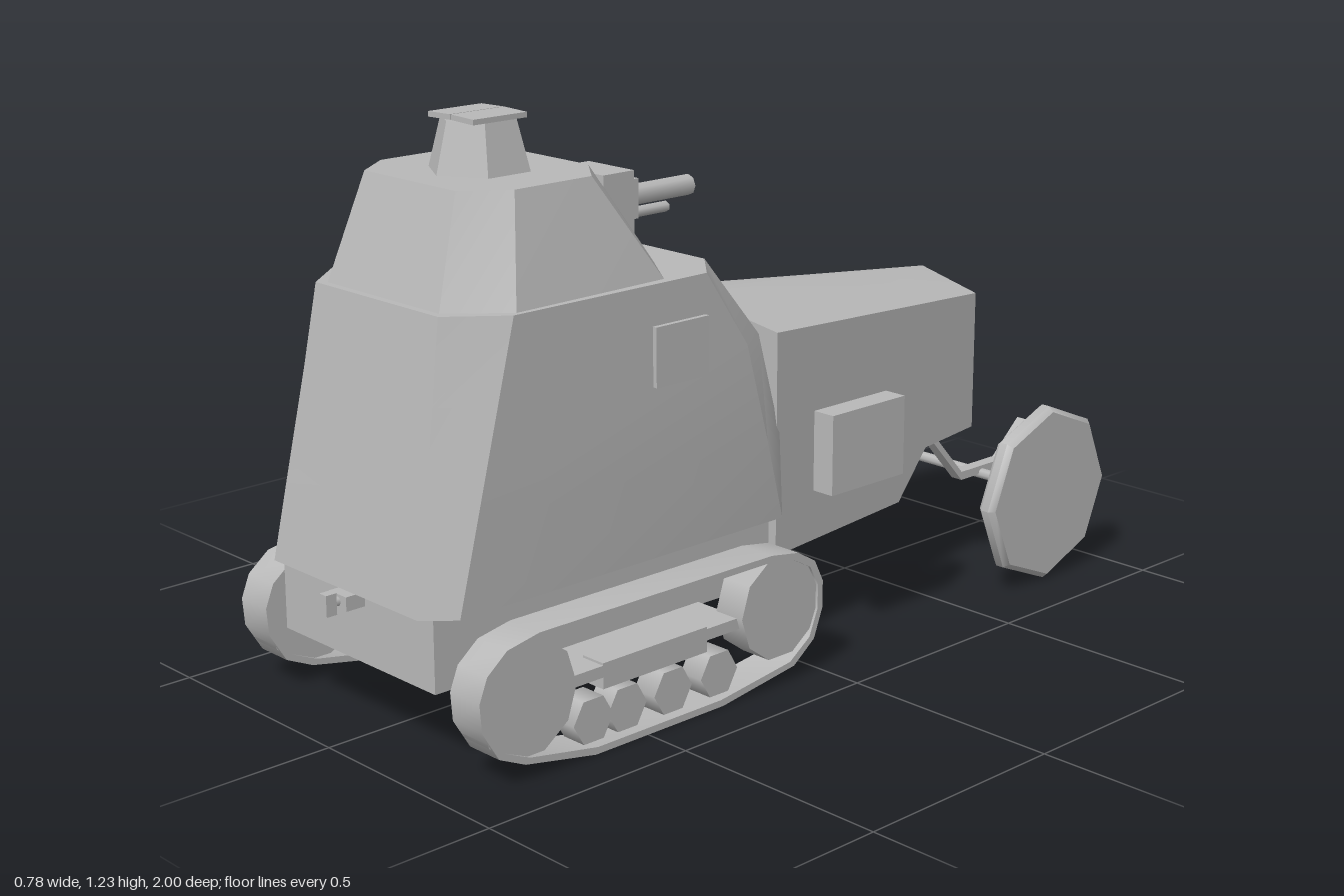
import * as THREE from 'three';
import { toCreasedNormals } from 'three/addons/utils/BufferGeometryUtils.js';

const CREASE = 0.53;

export function createModel() {
  const model = new THREE.Group();
  const grey = new THREE.MeshStandardMaterial({ color: 0xb8b8b8 });
  grey.name = 'armour grey';

  function add(name, geometry, x = 0, y = 0, z = 0, parent = model) {
    const mesh = new THREE.Mesh(geometry, grey);
    mesh.name = name;
    mesh.position.set(x, y, z);
    parent.add(mesh);
    return mesh;
  }

  // box given by its lower and upper limits on each axis
  function box(name, [x0, x1], [y0, y1], [z0, z1], parent = model) {
    return add(name, new THREE.BoxGeometry(x1 - x0, y1 - y0, z1 - z0),
      (x0 + x1) / 2, (y0 + y1) / 2, (z0 + z1) / 2, parent);
  }

  // cylinder lying along x
  function disc(name, r, [x0, x1], y, z, sides, parent, turn = 0) {
    const g = new THREE.CylinderGeometry(r, r, x1 - x0, sides).rotateY(turn).rotateZ(Math.PI / 2);
    return add(name, g, (x0 + x1) / 2, y, z, parent);
  }

  // cylinder lying along z
  function rod(name, r, x, y, [z0, z1], sides = 8) {
    const g = new THREE.CylinderGeometry(r, r, z1 - z0, sides).rotateX(Math.PI / 2);
    return add(name, g, x, y, (z0 + z1) / 2);
  }

  // closed skin through equal cross-sections, capped at both ends
  function loft(rings) {
    const n = rings[0].length, last = (rings.length - 1) * n, index = [];
    for (let r = 0; r < rings.length - 1; r++) {
      for (let i = 0; i < n; i++) {
        const a = r * n + i, b = r * n + (i + 1) % n;
        index.push(a, b, b + n, a, b + n, a + n);
      }
    }
    for (let i = 1; i < n - 1; i++) {
      index.push(0, i + 1, i, last, last + i, last + i + 1);
    }
    const g = new THREE.BufferGeometry();
    g.setAttribute('position', new THREE.Float32BufferAttribute(rings.flat(2), 3));
    g.setIndex(index);
    return toCreasedNormals(g, CREASE);
  }

  // level octagon: rear half-width and z, side half-widths and z, nose half-width and z
  function octagon(y, wr, zr, wsr, zsr, wsf, zsf, wf, zf) {
    return [[-wr, y, zr], [wr, y, zr], [wsr, y, zsr], [wsf, y, zsf],
      [wf, y, zf], [-wf, y, zf], [-wsf, y, zsf], [-wsr, y, zsr]];
  }

  // armoured body
  add('hull', loft([
    octagon(0.32, 0.235, 0.95, 0.29, 0.89, 0.29, 0.015, 0.275, 0),
    octagon(0.50, 0.222, 0.918, 0.289, 0.843, 0.289, 0.06, 0.265, 0),
    octagon(0.72, 0.206, 0.878, 0.287, 0.785, 0.287, 0.12, 0.24, 0.04),
    octagon(0.89, 0.195, 0.85, 0.285, 0.74, 0.285, 0.235, 0.19, 0.15),
  ]));
  add('turret', loft([
    octagon(0.885, 0.178, 0.835, 0.275, 0.725, 0.265, 0.33, 0.13, 0.235),
    octagon(1.11, 0.143, 0.76, 0.21, 0.67, 0.21, 0.475, 0.115, 0.4),
  ]));
  add('cupola', toCreasedNormals(new THREE.CylinderGeometry(0.08, 0.108, 0.105, 6), CREASE), 0, 1.162, 0.585);
  for (const s of [-1, 1]) {
    const flap = add('cupolaHatch', new THREE.BoxGeometry(0.069, 0.011, 0.135), s * 0.036, 1.22, 0.587);
    flap.rotation.z = -s * 0.03;
  }
  box('chassis', [-0.245, 0.245], [0.163, 0.325], [-0.04, 0.92]);

  // engine hood: five-sided sections with a shallow ridge, from nose to hull
  const sections = [[-0.755, 0.335], [-0.56, 0.33], [-0.455, 0.225], [0.01, 0.225]];
  add('hood', loft(sections.map(([z, bottom]) => {
    const w = 0.265 + 0.132 * z, shoulder = 0.72 + 0.08 * z, ridge = 0.757 + 0.078 * z;
    return [[-w, bottom, z], [w, bottom, z], [w, shoulder, z], [0, ridge, z], [-w, shoulder, z]];
  })));
  box('radiatorPlate', [-0.13, 0.13], [0.37, 0.61], [-0.765, -0.75]);

  // gun
  box('gunMantlet', [-0.07, 0.07], [0.935, 1.07], [0.235, 0.32]);
  box('gunCollar', [-0.045, 0.045], [0.96, 1.045], [0.2, 0.24]);
  rod('gunBarrel', 0.023, 0, 1.0, [0.015, 0.22]);
  rod('lowerBarrel', 0.012, 0, 0.962, [0.08, 0.24], 6);

  // tow hitch
  box('hitchPlate', [-0.028, 0.028], [0.285, 0.315], [0.915, 0.965]);
  rod('hitchStem', 0.01, 0, 0.3, [0.96, 0.99]);
  box('hitchKnob', [-0.011, 0.011], [0.277, 0.322], [0.975, 1.0]);

  // track band outline as z, y
  const outer = [[0.93, 0.19], [0.925, 0.13], [0.885, 0.065], [0.82, 0.035], [0.64, 0], [0.29, 0],
    [0.08, 0.03], [0.02, 0.075], [-0.005, 0.14], [-0.005, 0.2], [0.02, 0.25], [0.07, 0.28],
    [0.15, 0.293], [0.78, 0.295], [0.86, 0.28], [0.91, 0.24]];
  const toPoints = (sz, sy) => outer.map(([z, y]) =>
    new THREE.Vector2(-(0.4625 + (z - 0.4625) * sz), 0.148 + (y - 0.148) * sy));
  function trackBand() {
    const shape = new THREE.Shape(toPoints(1, 1));
    shape.holes.push(new THREE.Path(toPoints(0.968, 0.9)));
    const g = new THREE.ExtrudeGeometry(shape, { depth: 0.088, bevelEnabled: false });
    g.rotateY(Math.PI / 2);
    return toCreasedNormals(g, 0.7);
  }

  // octagonal road wheel with a narrow bevel
  function frontWheel() {
    const profile = [[0, -0.023], [0.198, -0.023], [0.21, -0.01], [0.21, 0.01], [0.198, 0.023], [0, 0.023]];
    const g = new THREE.LatheGeometry(profile.map(([r, y]) => new THREE.Vector2(r, y)), 8);
    return toCreasedNormals(g.rotateZ(Math.PI / 2), 0.8);
  }

  // bent spring bar as z, y
  function springBar() {
    const line = [[-0.96, 0.3], [-0.87, 0.22], [-0.72, 0.22], [-0.61, 0.34]];
    const h = 0.01;
    return loft(line.map(([z, y]) =>
      [[-0.015, y - h, z], [0.015, y - h, z], [0.015, y + h, z], [-0.015, y + h, z]]));
  }

  // paired running gear and side fittings
  for (const s of [-1, 1]) {
    const side = new THREE.Group();
    side.name = s > 0 ? 'leftSide' : 'rightSide';
    model.add(side);
    const span = (a, b) => (s > 0 ? [a, b] : [-b, -a]);

    add('trackBand', trackBand(), s > 0 ? 0.304 : -0.392, 0, 0, side);
    disc('rearTrackWheel', 0.122, span(0.31, 0.386), 0.163, 0.805, 10, side);
    disc('frontTrackWheel', 0.115, span(0.31, 0.386), 0.17, 0.115, 10, side);
    for (const z of [0.805, 0.115]) disc('trackAxle', 0.018, span(0.23, 0.32), 0.19, z, 8, side);
    for (const z of [0.635, 0.545, 0.42, 0.29]) {
      disc('roadWheel', 0.052, span(0.32, 0.38), 0.068, z, 6, side);
    }
    box('bogieBeam', span(0.31, 0.37), [0.12, 0.175], [0.315, 0.6], side);
    box('bogieBar', span(0.245, 0.37), [0.145, 0.17], [0.22, 0.69], side);

    box('sideHatch', span(0.27, 0.297), [0.68, 0.805], [0.24, 0.385], side);
    box('toolBox', span(0.297, 0.352), [0.362, 0.54], [-0.3, -0.073], side);

    add('frontWheel', frontWheel(), s * 0.355, 0.21, -0.79, side);
    add('springBar', springBar(), s * 0.153, 0, 0, side);
  }
  disc('frontAxle', 0.013, [-0.335, 0.335], 0.21, -0.795, 8, model);

  return model;
}
